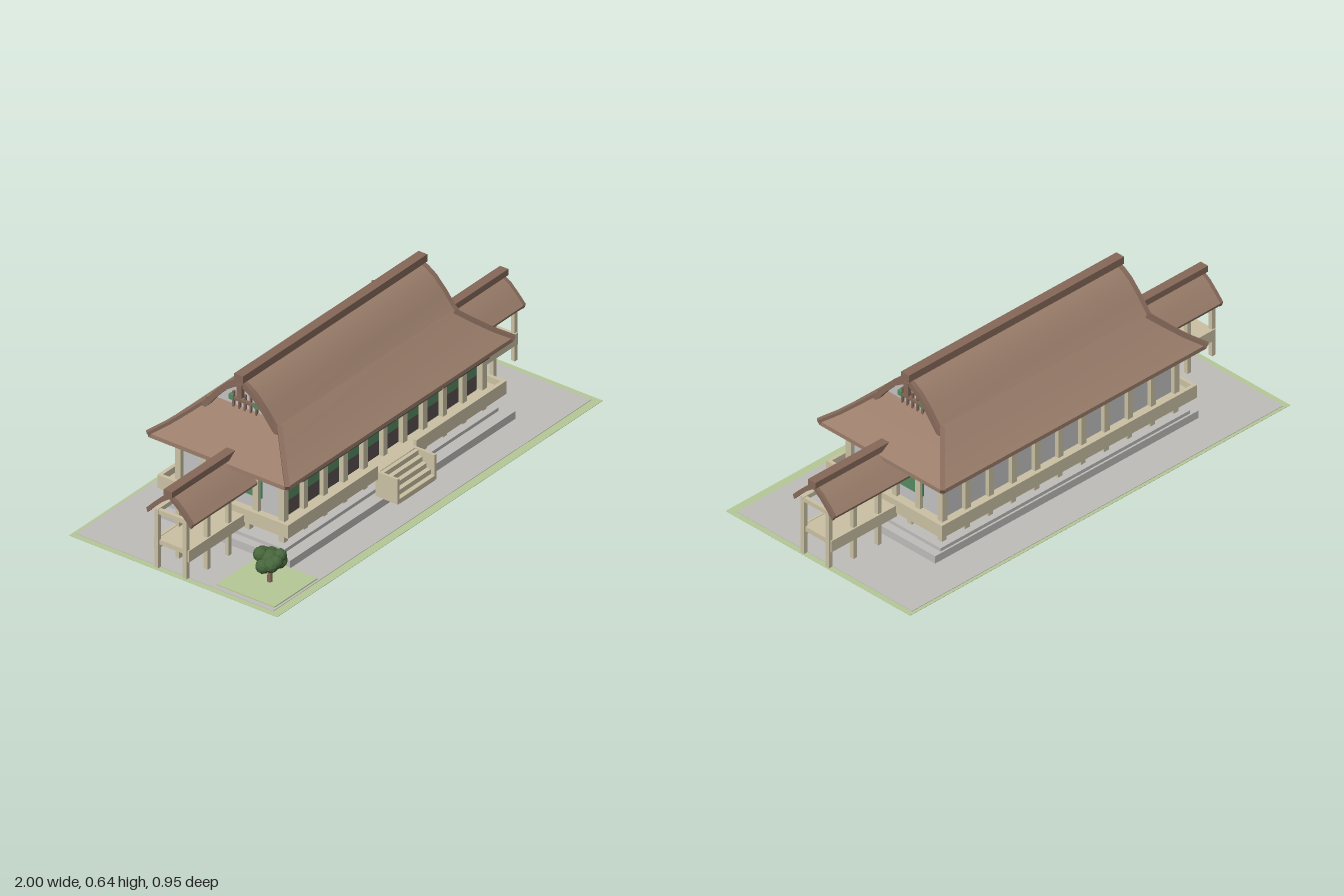
import * as THREE from 'three';
import { toCreasedNormals } from 'three/addons/utils/BufferGeometryUtils.js';

const mat = (name, color, side = THREE.FrontSide) => {
  const m = new THREE.MeshStandardMaterial({ color, side });
  m.name = name;
  return m;
};

export function createModel() {
  const M = {
    roof: mat('barkRoof', 0x9a7d6a, THREE.DoubleSide),
    trim: mat('brownTrim', 0x86695a),
    wood: mat('paleWood', 0xcbc1a4),
    green: mat('greenPanel', 0x568a60),
    dark: mat('darkWood', 0x5a5250),
    stone: mat('stone', 0xbfbdba),
    wall: mat('plasterWall', 0xc2c2c2, THREE.DoubleSide),
    grass: mat('grass', 0xb6c998),
    leaf: mat('leaf', 0x47663c),
  };
  const root = new THREE.Group();
  const CZ = -0.024; // centre line of the hall

  const add = (name, geo, m, parent = root) => {
    const mesh = new THREE.Mesh(geo, m);
    mesh.name = name;
    parent.add(mesh);
    return mesh;
  };
  // Box given by its limits on each axis
  const box = (name, m, x0, x1, y0, y1, z0, z1, parent) => {
    const b = add(name, new THREE.BoxGeometry(x1 - x0, y1 - y0, z1 - z0), m, parent);
    b.position.set((x0 + x1) / 2, (y0 + y1) / 2, (z0 + z1) / 2);
    return b;
  };
  const post = (name, m, x, z, w, y0, y1, parent) =>
    box(name, m, x - w / 2, x + w / 2, y0, y1, z - w / 2, z + w / 2, parent);
  // Square beam between two points
  const beam = (name, m, a, b, w) => {
    const p = new THREE.Vector3(...a), q = new THREE.Vector3(...b);
    const mesh = add(name, new THREE.BoxGeometry(w, w, p.distanceTo(q) + w * 0.4), m);
    mesh.position.copy(p).lerp(q, 0.5);
    mesh.lookAt(q);
  };
  // Symmetric section (offset from centre, height) extruded along x
  const extrudeX = (name, m, pts, x0, x1, zc, parent) => {
    const g = new THREE.ExtrudeGeometry(new THREE.Shape(pts.map(p => new THREE.Vector2(p[0], p[1]))),
      { depth: x1 - x0, bevelEnabled: false });
    g.rotateY(Math.PI / 2).translate(x0, 0, zc);
    return add(name, toCreasedNormals(g, 0.5), m, parent);
  };
  // Mirrors a half profile (eave to ridge) into a band of thickness t
  const mirrored = half => [...half, ...half.slice(0, -1).reverse().map(([o, y]) => [-o, y])];
  const band = (half, t, lift = 0) => [
    ...mirrored(half.map(([o, y]) => [o, y + lift])),
    ...mirrored(half.map(([o, y]) => [o - Math.min(o, t * 0.35), y + lift - t])).reverse(),
  ];

  // Ground
  box('lawnEdge', M.grass, -0.968, 0.968, 0.0005, 0.002, -0.475, 0.475);
  box('gravelYard', M.stone, -0.945, 0.945, 0, 0.004, -0.462, 0.44);
  box('gardenPatch', M.grass, -0.925, -0.67, 0.002, 0.008, 0.165, 0.43);

  // Stone base
  box('lowerBase', M.stone, -0.67, 0.67, 0, 0.036, -0.303, 0.305);
  box('upperBase', M.stone, -0.635, 0.635, 0.036, 0.05, -0.295, 0.255);

  // Raised deck with deep edge boards, open at the stairs
  box('deck', M.wood, -0.645, 0.645, 0.115, 0.138, -0.31, 0.275);
  box('backEdgeBoard', M.wood, -0.65, 0.65, 0.11, 0.165, -0.317, -0.302);
  box('stairEdgeBoard', M.wood, -0.115, 0.115, 0.11, 0.138, 0.265, 0.28);
  for (const s of [-1, 1]) {
    box('sideEdgeBoard', M.wood, s * 0.6425 - 0.0075, s * 0.6425 + 0.0075, 0.11, 0.165, -0.317, 0.28);
    box('frontEdgeBoard', M.wood, s > 0 ? 0.115 : -0.65, s > 0 ? 0.65 : -0.115, 0.11, 0.165, 0.265, 0.28);
  }

  // Stairs with cheek boards
  for (const s of [-1, 1])
    box('stairCheek', M.wood, s * 0.11 - 0.005, s * 0.11 + 0.005, 0.035, 0.14, 0.27, 0.37);
  for (let i = 0; i < 5; i++)
    box('stairTread', M.wood, -0.105, 0.105, 0.035, 0.055 + i * 0.02, 0.27, 0.372 - i * 0.019);

  // Columns and under-floor posts
  for (let i = -5; i <= 5; i++) {
    const x = i * 0.118;
    for (const z of [0.213, -0.26]) post('column', M.wood, x, z, 0.026, 0.13, 0.33);
    for (const z of [0.213, 0.056, -0.1, -0.257]) post('floorPost', M.wood, x, z, 0.024, 0.045, 0.12);
  }
  for (const s of [-1, 1])
    for (const z of [0.095, -0.024, -0.143]) post('sideColumn', M.wood, s * 0.59, z, 0.025, 0.13, 0.33);

  // Hall walls and panels
  box('hallWalls', M.wall, -0.585, 0.585, 0.13, 0.33, -0.255, 0.2);
  box('frontLowerPanel', M.dark, -0.566, 0.566, 0.138, 0.2, 0.198, 0.206);
  box('frontGreenPanel', M.green, -0.566, 0.566, 0.2, 0.32, 0.198, 0.206);
  for (const s of [-1, 1])
    box('sideGreenPanel', M.green, s * 0.587 - 0.004, s * 0.587 + 0.004, 0.19, 0.315, -0.159, 0.113);
  for (let i = 0; i < 4; i++)
    box('raisedShutter', M.dark, -0.555 + i * 0.28, -0.285 + i * 0.28, 0.302, 0.317, 0.226, 0.275);

  // Hipped lower roof: rectangular rings of (inset, height)
  const skirt = [[0.015, 0.32], [0, 0.325], [0, 0.342], [0.05, 0.377], [0.1, 0.42], [0.152, 0.468], [0.168, 0.482]];
  const corners = [[1, 1], [1, -1], [-1, -1], [-1, 1]];
  const HX = 0.672, HZ = 0.318;
  const at = (ring, k) => [corners[k][0] * (HX - ring[0]), ring[1], CZ + corners[k][1] * (HZ - ring[0])];
  const pos = [];
  for (let i = 0; i + 1 < skirt.length; i++)
    for (let k = 0; k < 4; k++) {
      const n = (k + 1) % 4;
      const a = at(skirt[i], k), b = at(skirt[i], n), c = at(skirt[i + 1], n), d = at(skirt[i + 1], k);
      pos.push(...a, ...b, ...c, ...a, ...c, ...d);
    }
  const skirtGeo = new THREE.BufferGeometry();
  skirtGeo.setAttribute('position', new THREE.Float32BufferAttribute(pos, 3));
  add('lowerRoof', toCreasedNormals(skirtGeo, 0.4), M.roof);
  box('soffit', M.trim, -0.658, 0.658, 0.318, 0.324, CZ - 0.304, CZ + 0.304);
  for (let k = 0; k < 4; k++)
    for (let i = 2; i < 5; i++) beam('hipRidge', M.trim, at(skirt[i], k), at(skirt[i + 1], k), 0.018);

  // Gabled upper roof
  const gable = [[0.176, 0.458], [0.155, 0.478], [0.115, 0.528], [0.068, 0.577], [0.03, 0.602], [0, 0.613]];
  extrudeX('upperRoof', M.roof, band(gable, 0.014), -0.535, 0.535, CZ);
  box('mainRidge', M.trim, -0.548, 0.548, 0.612, 0.643, CZ - 0.02, CZ + 0.02);

  // Gable ends with lattice and pendant
  for (const s of [-1, 1]) {
    const end = new THREE.Group();
    end.name = 'gableEnd';
    root.add(end);
    const xs = (a, b) => (s > 0 ? [a, b] : [-b, -a]);
    extrudeX('bargeBoard', M.trim, band(gable, 0.024, 0.004), ...xs(0.523, 0.541), CZ, end);
    extrudeX('gableWall', M.wall, mirrored(gable.map(([o, y]) => [o * 0.95, y - 0.012])), ...xs(0.495, 0.503), CZ, end);
    for (let i = -2; i <= 2; i++) {
      const z = CZ + i * 0.026;
      box('latticeBar', M.trim, ...xs(0.503, 0.513), 0.465, i % 2 ? 0.56 : 0.54, z - 0.004, z + 0.004, end);
    }
    box('latticeRail', M.trim, ...xs(0.505, 0.517), 0.508, 0.519, CZ - 0.06, CZ + 0.06, end);
    for (const t of [-1, 1])
      box('railEnd', M.green, ...xs(0.504, 0.519), 0.505, 0.526, CZ + t * 0.058 - 0.01, CZ + t * 0.058 + 0.01, end);
    box('gableCrest', M.green, ...xs(0.503, 0.512), 0.56, 0.585, CZ - 0.02, CZ + 0.02, end);
    box('pendant', M.trim, ...xs(0.528, 0.545), 0.545, 0.6, CZ - 0.012, CZ + 0.012, end);
  }

  // Covered corridors on both sides
  const corridorRoof = [[0.105, 0.262], [0.075, 0.294], [0.04, 0.328], [0, 0.353]];
  for (const s of [-1, 1]) {
    const wing = new THREE.Group();
    wing.name = s > 0 ? 'leftCorridor' : 'rightCorridor';
    root.add(wing);
    const xs = (a, b) => (s > 0 ? [a, b] : [-b, -a]);
    extrudeX('corridorRoof', M.roof, band(corridorRoof, 0.012), ...xs(0.6, 0.988), 0, wing);
    extrudeX('corridorBarge', M.trim, band(corridorRoof, 0.018, 0.002), ...xs(0.978, 0.992), 0, wing);
    box('corridorRidge', M.trim, ...xs(0.615, 1), 0.35, 0.376, -0.019, 0.019, wing);
    box('corridorFloor', M.wood, ...xs(0.645, 0.975), 0.118, 0.138, -0.075, 0.075, wing);
    for (const t of [-1, 1]) {
      const z = t * 0.065;
      box('corridorEdgeBoard', M.wood, ...xs(0.645, 0.978), 0.092, 0.14, z + t * 0.009 - 0.006, z + t * 0.009 + 0.006, wing);
      box('corridorPlate', M.wood, ...xs(0.6, 0.985), 0.252, 0.27, z - 0.008, z + 0.008, wing);
      for (const x of [0.975, 0.85, 0.725]) post('corridorPost', M.wood, s * x, z, 0.018, x > 0.9 ? 0.022 : 0.004, 0.265, wing);
    }
    for (const x of [0.975, 0.85, 0.725])
      box('tieBeam', M.wood, ...xs(x - 0.008, x + 0.008), 0.25, 0.268, -0.065, 0.065, wing);
  }

  // Garden tree
  const trunk = add('treeTrunk', new THREE.CylinderGeometry(0.006, 0.011, 0.085, 7), M.trim);
  trunk.position.set(-0.79, 0.05, 0.305);
  for (let i = 0; i < 9; i++) {
    const a = i * 2.4, r = i ? 0.036 : 0, size = i ? 0.025 + (i % 3) * 0.004 : 0.04;
    const clump = add('treeLeaves', toCreasedNormals(new THREE.IcosahedronGeometry(size, 1), 0.1), M.leaf);
    clump.position.set(-0.787 + r * Math.cos(a), 0.1 + (i ? ((i * 5) % 4 - 1.5) * 0.011 : 0), 0.305 + r * Math.sin(a));
    clump.rotation.set(i, i * 2, 0);
  }
  return root;
}
